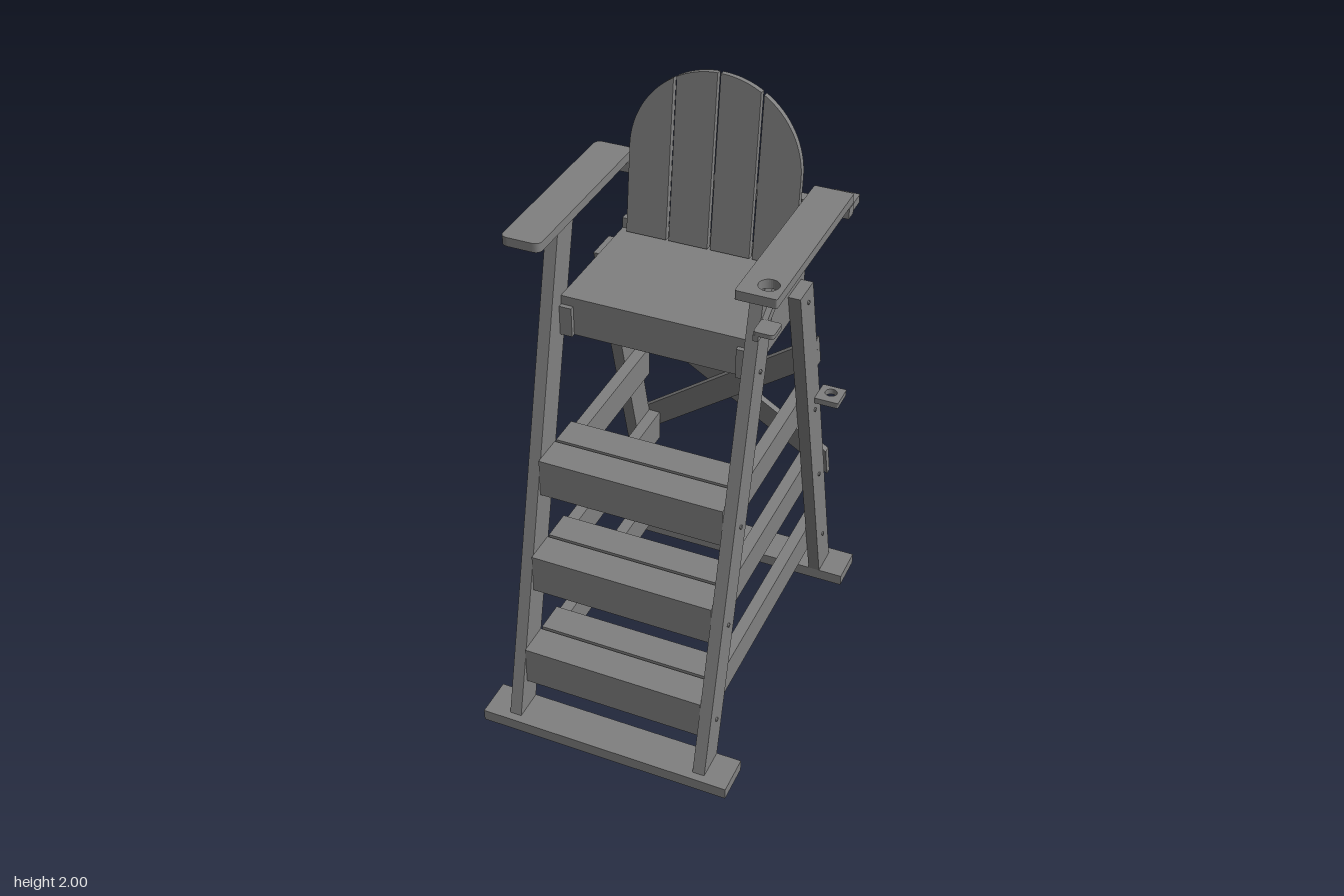
import * as THREE from 'three';

export function createModel() {
  const model = new THREE.Group();
  model.name = 'lookoutChair';
  const grey = new THREE.MeshStandardMaterial({ color: 0x808080 });
  grey.name = 'grey';

  const add = (name, geometry) => {
    const mesh = new THREE.Mesh(geometry, grey);
    mesh.name = name;
    model.add(mesh);
    return mesh;
  };
  // Box from its minimum and maximum on each axis
  const box = (name, x0, x1, y0, y1, z0, z1) => {
    const g = new THREE.BoxGeometry(x1 - x0, y1 - y0, z1 - z0);
    g.translate((x0 + x1) / 2, (y0 + y1) / 2, (z0 + z1) / 2);
    return add(name, g);
  };
  const polygon = (pts) => new THREE.Shape(pts.map((p) => new THREE.Vector2(...p)));
  const extrude = (shape, depth) =>
    new THREE.ExtrudeGeometry(shape, { depth, bevelEnabled: false, curveSegments: 16 });
  // Profile of (z, y) points pulled across from x0 to x1
  const sideProfile = (name, shape, x0, x1) =>
    add(name, extrude(shape, x1 - x0).rotateY(-Math.PI / 2).translate(x1, 0, 0));
  // Plan outline with rounded corners and an optional round hole
  const plate = (name, x0, x1, z0, z1, y0, y1, r, hole) => {
    const s = new THREE.Shape();
    s.moveTo(x0 + r, z0).lineTo(x1 - r, z0).quadraticCurveTo(x1, z0, x1, z0 + r);
    s.lineTo(x1, z1 - r).quadraticCurveTo(x1, z1, x1 - r, z1);
    s.lineTo(x0 + r, z1).quadraticCurveTo(x0, z1, x0, z1 - r);
    s.lineTo(x0, z0 + r).quadraticCurveTo(x0, z0, x0 + r, z0);
    if (hole) s.holes.push(new THREE.Path().absarc(...hole, 0, Math.PI * 2, true));
    return add(name, extrude(s, y1 - y0).rotateX(Math.PI / 2).translate(0, y1, 0));
  };

  // Ground skids
  box('frontSkid', -0.428, 0.428, 0, 0.04, 0.48, 0.612);
  box('backSkid', -0.428, 0.428, 0, 0.04, -0.612, -0.48);

  // Centre line of the sloping legs at a given height
  const frontZ = (y) => 0.533 - 0.254 * (y - 0.04);
  const backZ = (y) => -0.533 + 0.253 * (y - 0.04);

  // Heights of the rails: bottom, top, front end and back end
  const rails = [
    [0.15, 0.26, 0.505, -0.535],
    [0.48, 0.59, 0.425, -0.45],
    [0.81, 0.915, 0.345, -0.365],
    [1.3, 1.4, 0.19, -0.275],
  ];

  for (const side of [-1, 1]) {
    const x = (a, b) => (side > 0 ? [a, b] : [-b, -a]);
    const label = side > 0 ? 'left' : 'right';
    // Legs
    sideProfile(label + 'FrontLeg', polygon([[0.48, 0.04], [0.585, 0.04], [0.177, 1.645], [0.075, 1.645]]), ...x(0.305, 0.345));
    sideProfile(label + 'BackLeg', polygon([[-0.585, 0.04], [-0.48, 0.04], [-0.13, 1.4], [-0.242, 1.4]]), ...x(0.305, 0.345));
    // Side rails and bolts
    for (const [y0, y1, zf, zb] of rails) {
      box(label + 'Rail', ...x(0.265, 0.305), y0, y1, zb, zf);
      const y = (y0 + y1) / 2;
      for (const z of [frontZ(y), backZ(y)]) {
        const bolt = new THREE.CylinderGeometry(0.007, 0.007, 0.006, 12).rotateZ(Math.PI / 2);
        add('bolt', bolt.translate(side * 0.347, y, z));
      }
    }
  }

  // Steps: riser with two treads
  for (const [y0, y1, zf] of rails.slice(0, 3)) {
    const z = zf + 0.025;
    box('stepRiser', -0.305, 0.305, y0, y1, zf, z);
    box('frontTread', -0.305, 0.305, y1, y1 + 0.027, z - 0.11, z);
    box('backTread', -0.305, 0.305, y1, y1 + 0.027, z - 0.225, z - 0.12);
  }

  // Seat
  box('seatBoard', -0.305, 0.305, 1.4, 1.43, -0.275, 0.175);
  box('seatApron', -0.265, 0.265, 1.3, 1.4, 0.15, 0.175);
  box('lowerBackBar', -0.305, 0.305, 1.43, 1.465, -0.288, -0.262);
  box('upperBackBar', -0.428, 0.428, 1.61, 1.645, -0.335, -0.295);

  // Arched backrest of four slats, leaning back
  const backrest = new THREE.Group();
  backrest.name = 'backrest';
  const arch = (x) => 0.29 + Math.sqrt(Math.max(0, 0.28 ** 2 - x * x));
  for (let i = 0; i < 4; i++) {
    const x0 = -0.28 + i * 0.14 + (i ? 0.005 : 0);
    const x1 = -0.14 + i * 0.14 - (i < 3 ? 0.005 : 0);
    const pts = [[x0, 0], [x1, 0]];
    for (let k = 0; k <= 16; k++) {
      // Even angles keep the outer shoulder round
      const a0 = Math.acos(Math.max(-1, Math.min(1, x1 / 0.28)));
      const a1 = Math.acos(Math.max(-1, Math.min(1, x0 / 0.28)));
      const px = 0.28 * Math.cos(a0 + ((a1 - a0) * k) / 16);
      pts.push([px, arch(px)]);
    }
    const slat = new THREE.Mesh(extrude(polygon(pts), 0.022), grey);
    slat.name = 'backSlat';
    backrest.add(slat);
  }
  backrest.position.set(0, 1.432, -0.258);
  backrest.rotation.x = -0.12;
  model.add(backrest);

  // Armrests, the left one with a cup hole
  plate('rightArm', -0.428, -0.3, -0.34, 0.302, 1.645, 1.675, 0.025);
  plate('leftArm', 0.3, 0.426, -0.34, 0.302, 1.645, 1.675, 0.006, [0.378, 0.24, 0.031]);

  // Cup support below the hole
  plate('cupRest', 0.345, 0.408, 0.2, 0.27, 1.518, 1.532, 0.012);
  const hook = new THREE.Shape();
  hook.moveTo(0.27, 1.5).lineTo(0.215, 1.5).quadraticCurveTo(0.16, 1.515, 0.14, 1.53);
  hook.quadraticCurveTo(0.1, 1.545, 0.095, 1.6).lineTo(0.12, 1.605);
  hook.quadraticCurveTo(0.13, 1.57, 0.16, 1.55).lineTo(0.215, 1.52).lineTo(0.27, 1.52);
  sideProfile('cupBracket', hook, 0.345, 0.362);

  // Pole holders with matching holes
  plate('upperPoleHolder', 0.345, 0.426, -0.4, -0.32, 1.615, 1.642, 0.004, [0.385, -0.365, 0.02]);
  plate('lowerPoleHolder', 0.345, 0.426, -0.4, -0.315, 0.895, 0.915, 0.004, [0.385, -0.365, 0.02]);

  // Crossed braces lying against the sloping back legs
  const brace = (name, side, offset) => {
    const shape = polygon([[-0.345, 0.467], [0.345, 1.033], [0.345, 1.15], [-0.345, 0.584]]
      .map(([x, y]) => [x * side, y]));
    const g = extrude(shape, 0.025);
    const p = g.attributes.position;
    for (let i = 0; i < p.count; i++) {
      p.setZ(i, p.getZ(i) - 0.025 - offset - 0.585 + 0.252 * (p.getY(i) - 0.04));
    }
    g.computeVertexNormals();
    add(name, g);
  };
  brace('innerBrace', 1, 0);
  brace('outerBrace', -1, 0.025);

  return model;
}
